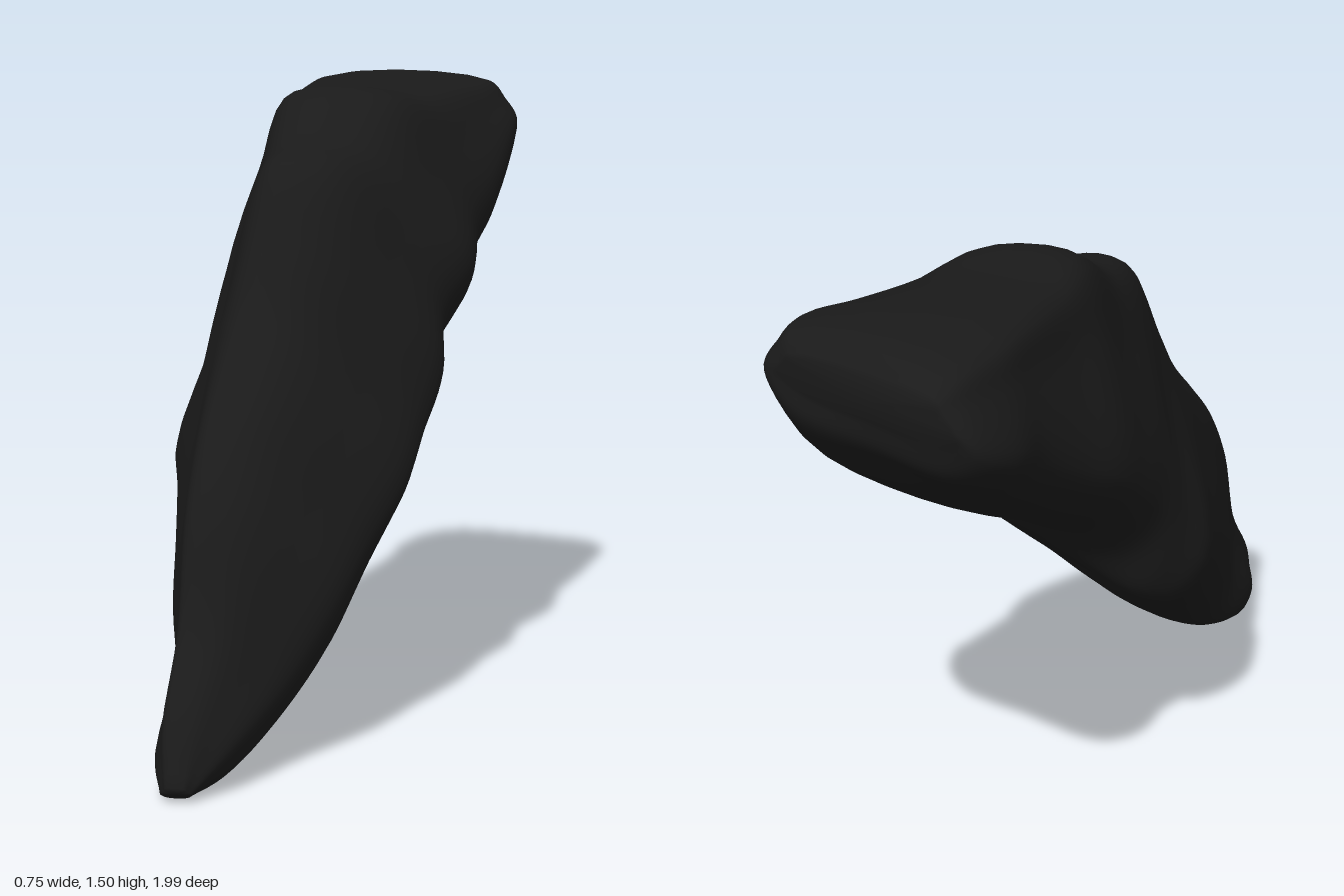
import * as THREE from 'three';

// Oblique sections from the low tip to the raised blunt end:
// [bottom z, bottom y], [top z, top y], [left x, right x], [crest left x, crest right x]
const sections = [
  [[0.97, 0.01], [1.0, 0.04], [-0.235, -0.165], [-0.22, -0.18]],
  [[0.85, 0.0], [0.94, 0.18], [-0.265, -0.095], [-0.23, -0.17]],
  [[0.66, 0.05], [0.81, 0.35], [-0.25, -0.01], [-0.225, -0.14]],
  [[0.5, 0.16], [0.71, 0.6], [-0.285, 0.09], [-0.22, -0.12]],
  [[0.33, 0.29], [0.6, 0.76], [-0.31, 0.15], [-0.21, -0.1]],
  [[0.17, 0.41], [0.47, 0.89], [-0.34, 0.21], [-0.195, -0.07]],
  [[0.0, 0.5], [0.36, 1.0], [-0.375, 0.235], [-0.18, -0.05]],
  [[-0.1, 0.58], [0.27, 1.15], [-0.345, 0.268], [-0.16, -0.02]],
  [[-0.17, 0.69], [0.16, 1.325], [-0.325, 0.262], [-0.14, 0.01]],
  [[-0.3, 0.82], [0.0, 1.37], [-0.32, 0.315], [-0.14, 0.05]],
  [[-0.45, 0.91], [-0.2, 1.475], [-0.31, 0.312], [-0.15, 0.1]],
  [[-0.6, 1.0], [-0.4, 1.47], [-0.27, 0.34], [-0.16, 0.16]],
  [[-0.75, 1.1], [-0.6, 1.485], [-0.24, 0.362], [-0.16, 0.23]],
  [[-0.87, 1.19], [-0.76, 1.49], [-0.235, 0.37], [-0.15, 0.29]],
  [[-0.95, 1.26], [-0.91, 1.48], [-0.195, 0.35], [-0.12, 0.29]],
  [[-0.98, 1.34], [-0.99, 1.44], [-0.145, 0.31], [-0.09, 0.27]],
];
// Per section: height of the left bulge, of the right bulge, and how far the underside rises to the right
const flanks = [
  [0.4, 0.45, 0], [0.4, 0.55, 0.5], [0.4, 0.48, 0.4], [0.35, 0.45, 0.2],
  [0.3, 0.4, 0.3], [0.24, 0.38, 0.6], [0.2, 0.4, 1], [0.2, 0.43, 1],
  [0.2, 0.42, 0.4], [0.2, 0.42, 0.3], [0.22, 0.4, 0], [0.25, 0.45, 0],
  [0.28, 0.55, 0.3], [0.26, 0.6, 0.6], [0.28, 0.55, 0.8], [0.4, 0.5, 0.5],
];
const AROUND = 48, ALONG = 75;
const lerp = THREE.MathUtils.lerp;

// Rounded closed outline of one section, with a crest on top and a bulge low on each side
function outline([bottom, top, [l, r], [cl, cr]], i) {
  const [fl, fr, tilt] = flanks[i];
  const shear = [0.1, 0.22, 0.32][i - sections.length + 3] ?? 0; // slanted blunt end
  const profile = [
    [l, fl], [lerp(l, cl, 0.55), lerp(fl, 1, 0.62)], [cl, 0.97], [cr, 0.96],
    [lerp(r, cr, 0.42), lerp(fr, 1, 0.5)], [r, fr], [lerp(r, l, 0.13), 0.13 + 0.1 * tilt],
    [lerp(l, r, 0.5), 0.1 * tilt], [lerp(l, r, 0.13), 0.3 * fl * (1 - tilt)],
  ];
  const points = profile.map(([x, f]) => new THREE.Vector3(
    x, lerp(bottom[1], top[1], f), lerp(bottom[0], top[0], f) + shear * (x + 0.12)));
  return new THREE.CatmullRomCurve3(points, true).getPoints(AROUND).slice(0, AROUND);
}

function rockGeometry() {
  const loops = sections.map(outline);
  const rails = loops[0].map((_, j) => new THREE.CatmullRomCurve3(loops.map((loop) => loop[j])));
  const positions = [], index = [];
  for (let i = 0; i <= ALONG; i++) {
    for (const rail of rails) positions.push(...rail.getPoint(i / ALONG).toArray());
  }
  const at = (i, j) => i * AROUND + (j % AROUND);
  for (let i = 0; i < ALONG; i++) {
    for (let j = 0; j < AROUND; j++) {
      const a = at(i, j), b = at(i, j + 1), c = at(i + 1, j), d = at(i + 1, j + 1);
      index.push(a, b, c, b, d, c);
    }
  }
  // Closed ends
  for (const [row, loop] of [[0, loops[0]], [ALONG, loops.at(-1)]]) {
    const centre = loop.reduce((sum, p) => sum.add(p), new THREE.Vector3()).divideScalar(AROUND);
    centre.z += row === 0 ? 0.008 : -0.012;
    const tip = positions.length / 3;
    positions.push(...centre.toArray());
    for (let j = 0; j < AROUND; j++) {
      if (row === 0) index.push(tip, at(row, j + 1), at(row, j));
      else index.push(tip, at(row, j), at(row, j + 1));
    }
  }
  const geometry = new THREE.BufferGeometry();
  geometry.setAttribute('position', new THREE.Float32BufferAttribute(positions, 3));
  geometry.setIndex(index);
  geometry.computeVertexNormals();
  return geometry;
}

export function createModel() {
  const group = new THREE.Group();
  const rock = new THREE.Mesh(rockGeometry(), new THREE.MeshStandardMaterial({ color: 0x1a1a1a }));
  rock.name = 'rock';
  group.add(rock);
  return group;
}
